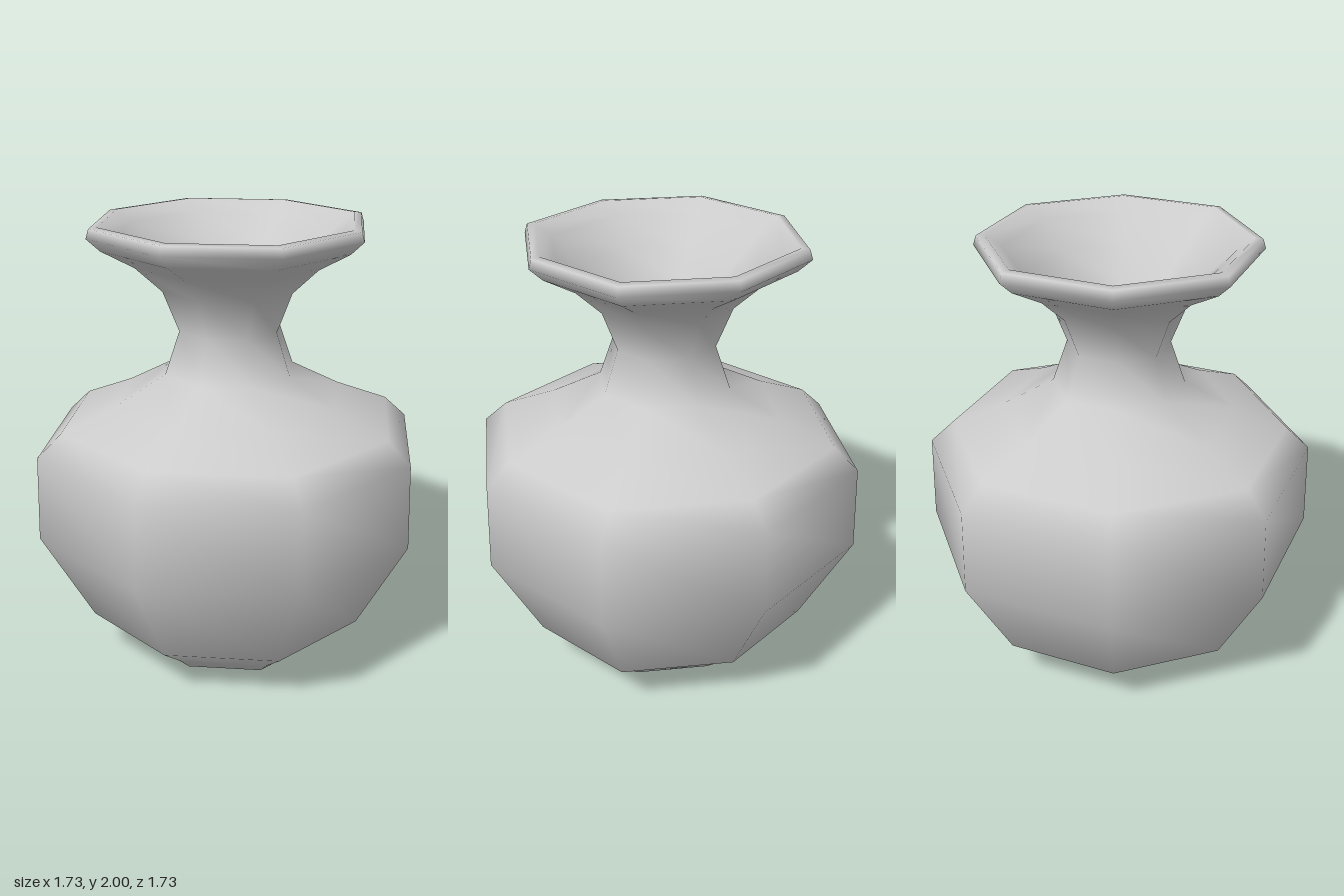
import * as THREE from 'three';

const SIDES = 8;

// Turns a [radius, height] profile into an eight-sided smooth surface
// whose diagonal corners sit slightly further out.
function turned(name, profile, material) {
  const points = profile.map(([r, y]) => new THREE.Vector2(r, y));
  const geometry = new THREE.LatheGeometry(points, SIDES);
  const pos = geometry.attributes.position;
  const perColumn = profile.length;
  for (let i = 0; i < pos.count; i++) {
    const column = Math.floor(i / perColumn);
    const k = column % 2 ? 1.027 : 1;
    pos.setX(i, pos.getX(i) * k);
    pos.setZ(i, pos.getZ(i) * k);
  }
  const mesh = new THREE.Mesh(geometry, material);
  mesh.name = name;
  return mesh;
}

export function createModel() {
  const group = new THREE.Group();
  group.name = 'vase';
  const material = new THREE.MeshStandardMaterial({ color: 0xcccccc });

  // Base, belly, shoulder, neck, flared lip and the funnel inside the mouth
  group.add(turned('vaseBody', [
    [0, 0], [0.3, 0.012], [0.42, 0.04], [0.49, 0.105], [0.64, 0.22],
    [0.865, 0.64], [0.855, 1.02], [0.75, 1.12], [0.51, 1.22], [0.29, 1.34],
    [0.225, 1.53], [0.295, 1.71], [0.41, 1.82], [0.55, 1.9], [0.607, 1.955],
    [0.595, 1.995], [0.56, 2], [0.49, 1.95], [0.37, 1.84], [0.25, 1.71],
    [0.17, 1.58], [0, 1.5],
  ], material));

  return group;
}
